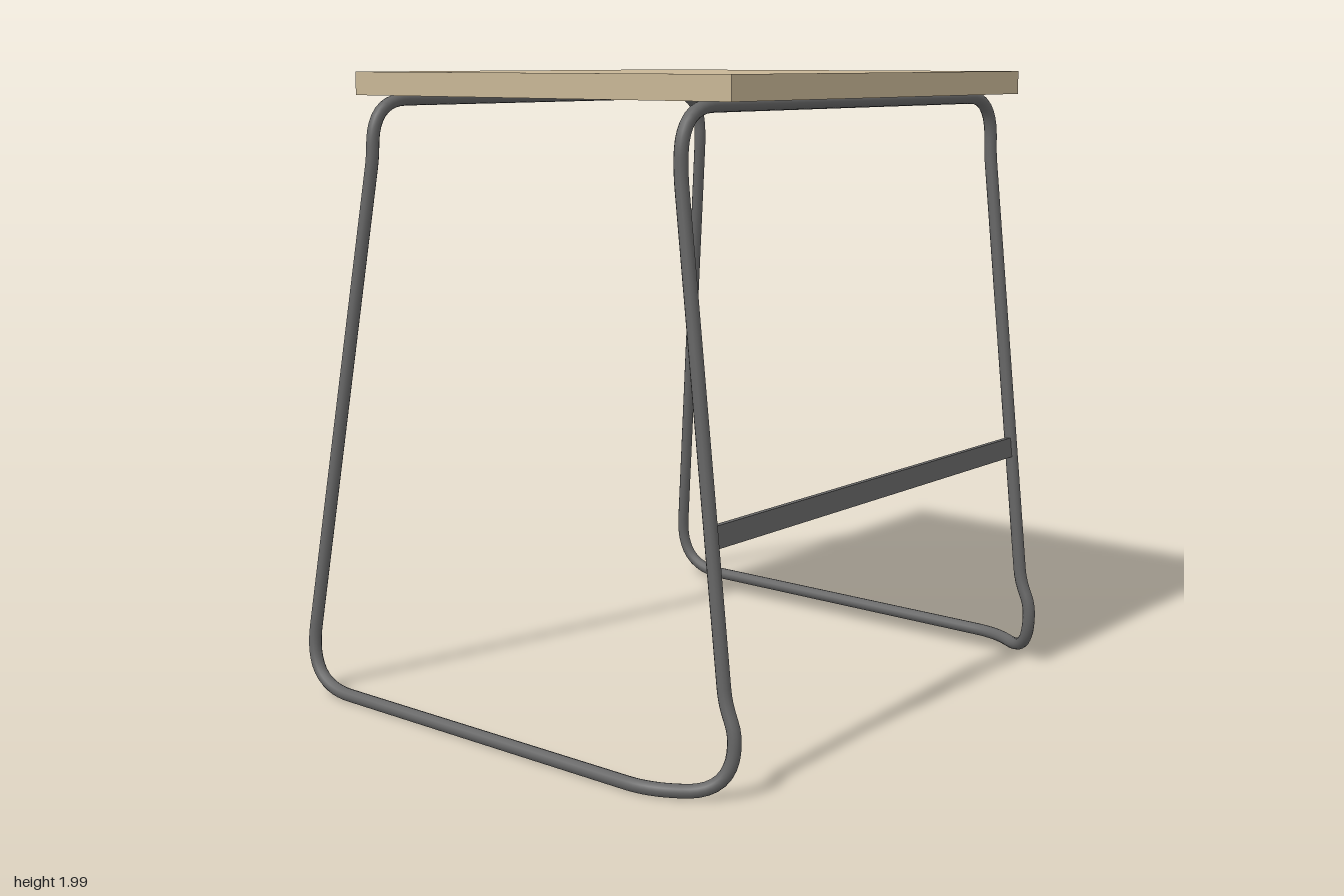
import * as THREE from 'three';

// Path of straight runs joined by rounded bends; each point is [x, y, z, bend length]
function bentPath(points) {
  const path = new THREE.CurvePath();
  const v = points.map(p => new THREE.Vector3(p[0], p[1], p[2]));
  let last = v[0];
  for (let i = 1; i < v.length - 1; i++) {
    const toward = (target) => v[i].clone().add(
      target.clone().sub(v[i]).normalize().multiplyScalar(points[i][3]));
    const start = toward(v[i - 1]);
    const end = toward(v[i + 1]);
    path.add(new THREE.LineCurve3(last, start));
    path.add(new THREE.QuadraticBezierCurve3(start, v[i], end));
    last = end;
  }
  path.add(new THREE.LineCurve3(last, v[v.length - 1]));
  return path;
}

export function createModel() {
  const model = new THREE.Group();
  model.name = 'stool';
  const wood = new THREE.MeshStandardMaterial({ color: 0xc8b696 });
  const metal = new THREE.MeshStandardMaterial({ color: 0x666666 });

  const add = (name, geometry, material, x, y, z) => {
    const mesh = new THREE.Mesh(geometry, material);
    mesh.name = name;
    mesh.position.set(x, y, z);
    model.add(mesh);
    return mesh;
  };

  // Square seat board
  add('seat', new THREE.BoxGeometry(1.51, 0.073, 1.51), wood, 0, 1.9635, 0);

  // Half of the bent tube frame: front bar, front leg, runner, back leg, back bar
  const half = [
    [0, 1.915, 0.625, 0],
    [0.808, 1.915, 0.625, 0.14],
    [0.81, 1.73, 0.625, 0.035],
    [0.813, 0.28, 0.785, 0.04],
    [0.814, 0.2, 0.82, 0.03],
    [0.82, 0.027, 0.82, 0.14],
    [0.948, 0.027, 0.62, 0.08],
    [0.952, 0.027, -0.84, 0.2],
    [0.806, 1.74, -0.625, 0.035],
    [0.8, 1.915, -0.625, 0.14],
    [0, 1.915, -0.625, 0],
  ];
  for (const side of [1, -1]) {
    const path = bentPath(half.map(([x, y, z, r]) => [side * x, y, z, r]));
    add(side > 0 ? 'leftFrame' : 'rightFrame',
      new THREE.TubeGeometry(path, 300, 0.0205, 12), metal, 0, 0, 0);
  }

  // Flat footrest between the front legs, leaning with them
  const rail = add('footrest', new THREE.BoxGeometry(1.62, 0.065, 0.022), metal, 0, 0.74, 0.734);
  rail.rotation.x = -0.11;

  return model;
}
